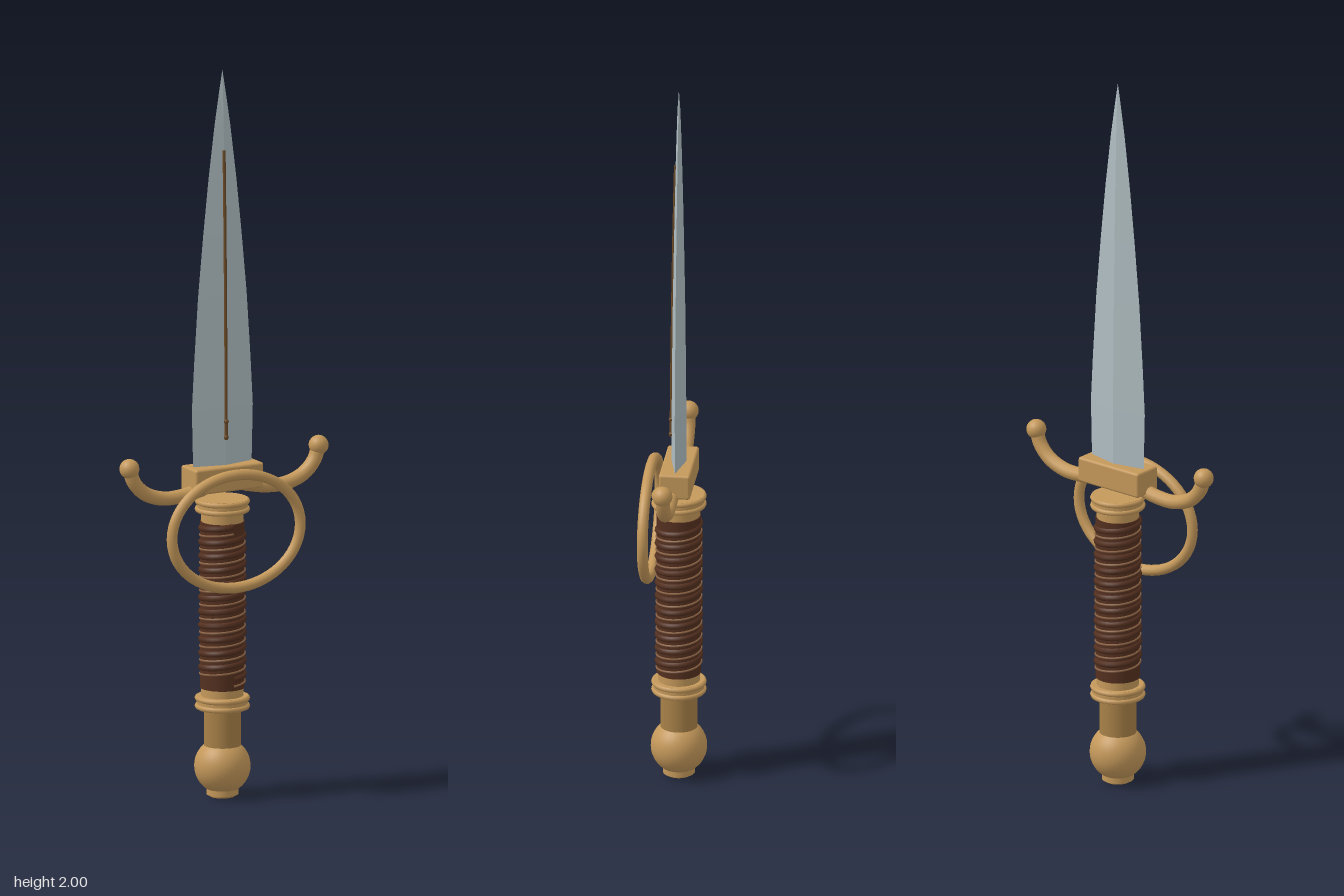
import * as THREE from 'three';
import { RoundedBoxGeometry } from 'three/addons/geometries/RoundedBoxGeometry.js';

const AXIS_Z = -0.009; // blade and grip sit slightly behind the guard arms

const paint = (name, color) => {
  const m = new THREE.MeshStandardMaterial({ color });
  m.name = name;
  return m;
};

// Diamond cross-sections [y, half width, half thickness] joined up to a point
function bladeGeometry(sections, tipY) {
  const rings = sections.map(([y, w, t]) => [[w, y, 0], [0, y, t], [-w, y, 0], [0, y, -t]]);
  const tip = [0, tipY, 0];
  const pos = [];
  const tri = (...corners) => corners.forEach((c) => pos.push(...c));
  for (let k = 0; k < rings.length; k++) {
    const a = rings[k], b = rings[k + 1];
    for (let i = 0; i < 4; i++) {
      const j = (i + 1) % 4;
      if (!b) {
        tri(a[i], tip, a[j]);
      } else {
        tri(a[i], b[i], b[j]);
        tri(a[i], b[j], a[j]);
      }
    }
  }
  const base = rings[0];
  tri(base[0], base[1], base[2]);
  tri(base[0], base[2], base[3]);
  // Reorder every face so that it points outward
  for (let i = 0; i < pos.length; i += 9) {
    const [A, B, C] = [0, 3, 6].map((o) => new THREE.Vector3().fromArray(pos, i + o));
    const n = B.clone().sub(A).cross(C.clone().sub(A));
    const mid = A.clone().add(B).add(C).divideScalar(3);
    mid.y -= (sections[0][0] + tipY) / 2;
    if (n.dot(mid) < 0) {
      C.toArray(pos, i + 3);
      B.toArray(pos, i + 6);
    }
  }
  const g = new THREE.BufferGeometry();
  g.setAttribute('position', new THREE.Float32BufferAttribute(pos, 3));
  g.computeVertexNormals();
  return g;
}

export function createModel() {
  const model = new THREE.Group();
  model.name = 'dagger';
  const steel = paint('steel', 0xafbdc1);
  const brass = paint('brass', 0xc4985a);
  const darkBrass = paint('darkBrass', 0xa88148);
  const leather = paint('leather', 0x54301f);
  const wire = paint('wire', 0x8a6244);
  const inlay = paint('inlay', 0x6b4a26);

  const add = (name, geometry, material, x = 0, y = 0, z = AXIS_Z) => {
    const mesh = new THREE.Mesh(geometry, material);
    mesh.name = name;
    mesh.position.set(x, y, z);
    model.add(mesh);
    return mesh;
  };
  const cylinder = (name, r, y0, y1, material) =>
    add(name, new THREE.CylinderGeometry(r, r, y1 - y0, 32), material, 0, (y0 + y1) / 2);

  // Leaf-shaped blade
  const blade = [
    [0.9, 0.09, 0.02], [1.07, 0.094, 0.02], [1.2, 0.087, 0.019], [1.38, 0.075, 0.017],
    [1.55, 0.059, 0.014], [1.7, 0.043, 0.011], [1.85, 0.024, 0.007], [1.94, 0.01, 0.004],
  ];
  add('blade', bladeGeometry(blade, 2), steel);

  // Narrow inlaid line along the front ridge, with a small bead near its foot
  const inlayPath = new THREE.CatmullRomCurve3([
    new THREE.Vector3(0, 0.985, 0.012), new THREE.Vector3(0, 1.2, 0.01),
    new THREE.Vector3(0, 1.55, 0.005), new THREE.Vector3(0, 1.78, 0.0),
  ]);
  add('bladeInlay', new THREE.TubeGeometry(inlayPath, 16, 0.0045, 8), inlay, 0, 0, 0);
  for (const y of [0.992, 1.035]) {
    add('inlayBead', new THREE.SphereGeometry(0.007, 10, 8), inlay, 0, y, 0.012);
  }

  // Guard block
  add('guardBlock', new RoundedBoxGeometry(0.21, 0.07, 0.085, 2, 0.007), brass, 0, 0.88);

  // Curved guard arms ending in balls
  for (const s of [1, -1]) {
    const path = new THREE.CatmullRomCurve3([
      [0.07, 0.853], [0.13, 0.842], [0.19, 0.842], [0.245, 0.862], [0.278, 0.896], [0.292, 0.935],
    ].map(([x, y]) => new THREE.Vector3(s * x, y, 0)));
    add(s > 0 ? 'leftGuardArm' : 'rightGuardArm',
      new THREE.TubeGeometry(path, 28, 0.0195, 12), brass, 0, 0, 0);
    add('guardArmInnerEnd', new THREE.SphereGeometry(0.0195, 12, 8), brass, s * 0.07, 0.853, 0);
    add(s > 0 ? 'leftGuardBall' : 'rightGuardBall',
      new THREE.SphereGeometry(0.027, 20, 14), brass, s * 0.292, 0.935, 0);
  }

  // Oval hand ring in front of the grip
  const oval = [];
  for (let i = 0; i < 24; i++) {
    const a = (i / 24) * Math.PI * 2;
    oval.push(new THREE.Vector3(0.198 * Math.cos(a), 0.743 + 0.155 * Math.sin(a), 0));
  }
  add('handRing', new THREE.TubeGeometry(new THREE.CatmullRomCurve3(oval, true), 64, 0.0148, 10, true),
    brass, 0, 0, 0.066);

  // Leather grip with a raised spiral wrap and wire
  cylinder('grip', 0.06, 0.3, 0.758, leather);
  const turns = 11;
  const spiral = (r, offset) => {
    const pts = [];
    for (let i = 0; i <= turns * 16; i++) {
      const a = (i / 16) * Math.PI * 2;
      pts.push(new THREE.Vector3(r * Math.sin(a), 0.312 + offset + (i / (turns * 16)) * 0.42, r * Math.cos(a)));
    }
    return new THREE.CatmullRomCurve3(pts);
  };
  add('gripWrap', new THREE.TubeGeometry(spiral(0.056, 0.019), turns * 32, 0.0095, 8), leather, 0, 0);
  add('gripWire', new THREE.TubeGeometry(spiral(0.0605, 0), turns * 32, 0.003, 6), wire, 0, 0);

  // Ferrules and ringed collars at both ends of the grip
  cylinder('upperFerrule', 0.057, 0.755, 0.79, brass);
  cylinder('lowerFerrule', 0.057, 0.27, 0.307, brass);
  for (const [name, y] of [['upperCollar', 0.802], ['lowerCollar', 0.26]]) {
    cylinder(name, 0.069, y - 0.018, y + 0.018, brass);
    for (const dy of [-0.011, 0.011]) {
      const rim = add(name + 'Rim', new THREE.TorusGeometry(0.067, 0.0075, 8, 40), brass, 0, y + dy);
      rim.rotation.x = Math.PI / 2;
    }
  }

  // Neck, round pommel and end button
  cylinder('pommelNeck', 0.05, 0.14, 0.245, darkBrass);
  add('pommel', new THREE.SphereGeometry(0.076, 32, 20), brass, 0, 0.084);
  cylinder('pommelButton', 0.043, 0.006, 0.026, brass);
  cylinder('pommelButtonTip', 0.033, 0, 0.01, darkBrass);

  return model;
}
